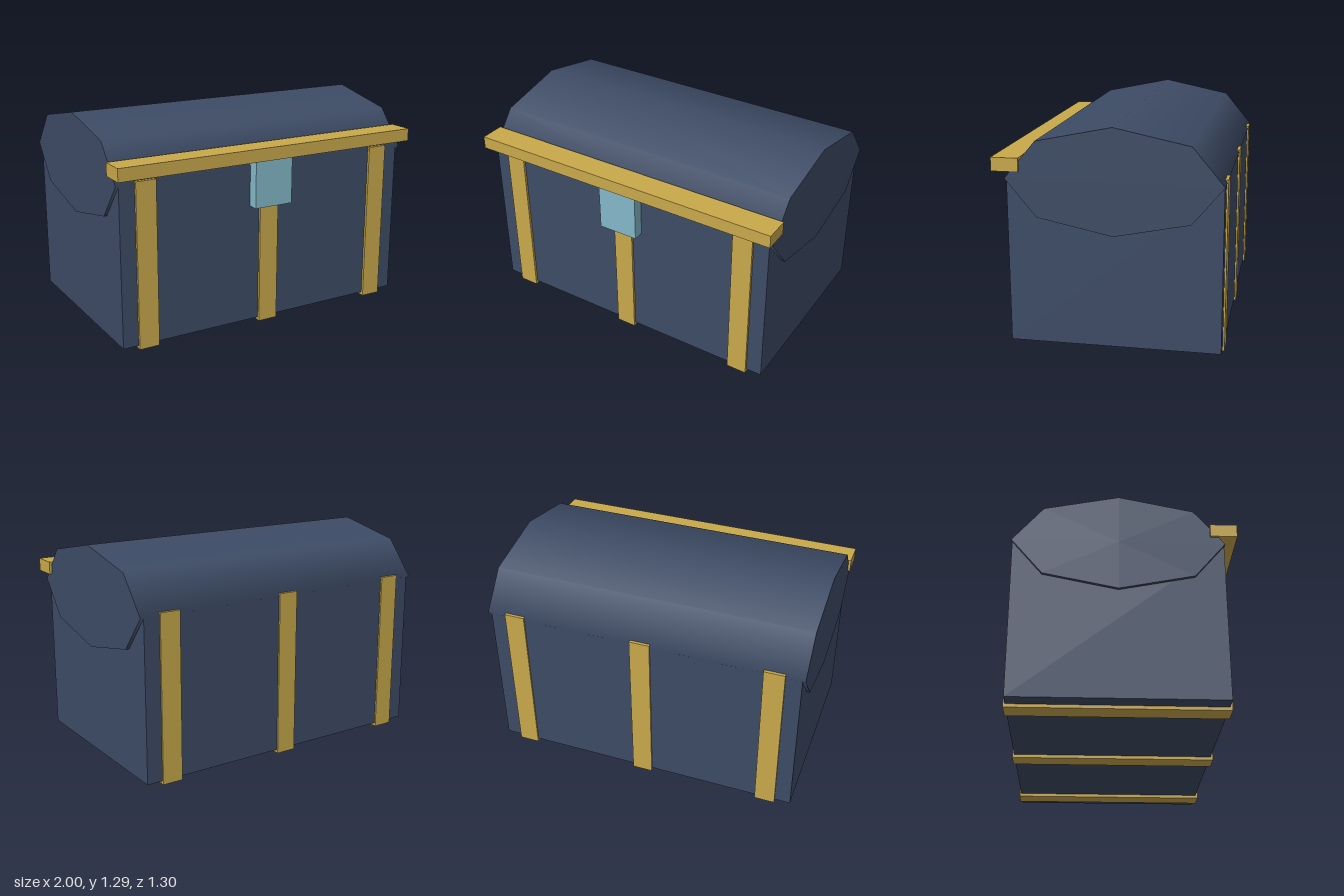
import * as THREE from 'three';

const blue = new THREE.MeshStandardMaterial({ color: 0x3d4b65 });
blue.name = 'navy blue';
const gold = new THREE.MeshStandardMaterial({ color: 0xc8a84b });
gold.name = 'gold';
const teal = new THREE.MeshStandardMaterial({ color: 0x83b7c8 });
teal.name = 'pale teal';

// Box given by its lower and upper corners
function block(name, material, [x0, y0, z0], [x1, y1, z1]) {
  const geometry = new THREE.BoxGeometry(x1 - x0, y1 - y0, z1 - z0);
  geometry.translate((x0 + x1) / 2, (y0 + y1) / 2, (z0 + z1) / 2);
  const mesh = new THREE.Mesh(geometry, material);
  mesh.name = name;
  return mesh;
}

export function createModel() {
  const chest = new THREE.Group();
  chest.name = 'chest';

  // Body
  chest.add(block('body', blue, [-0.967, 0.02, -0.64], [0.963, 0.98, 0.575]));

  // Lid: a squashed eight-sided barrel, sunk into the body
  const barrel = new THREE.CylinderGeometry(1, 1, 1.97, 8);
  barrel.rotateZ(Math.PI / 2);
  barrel.scale(1, 0.305, 0.612);
  barrel.translate(0, 0.985, -0.032);
  const lid = new THREE.Mesh(barrel, blue);
  lid.name = 'lid';
  chest.add(lid);

  // Straps wrapping front, bottom and back
  for (const [name, x] of [['rightStrap', -0.808], ['middleStrap', -0.002], ['leftStrap', 0.804]]) {
    chest.add(block(name, gold, [x - 0.0625, 0, -0.65], [x + 0.0625, 1.0, 0.59]));
  }

  // Front rim bar and latch
  chest.add(block('rimBar', gold, [-1, 1.027, 0.495], [1, 1.105, 0.65]));
  chest.add(block('latch', teal, [-0.128, 0.745, 0.56], [0.123, 1.05, 0.64]));

  return chest;
}
